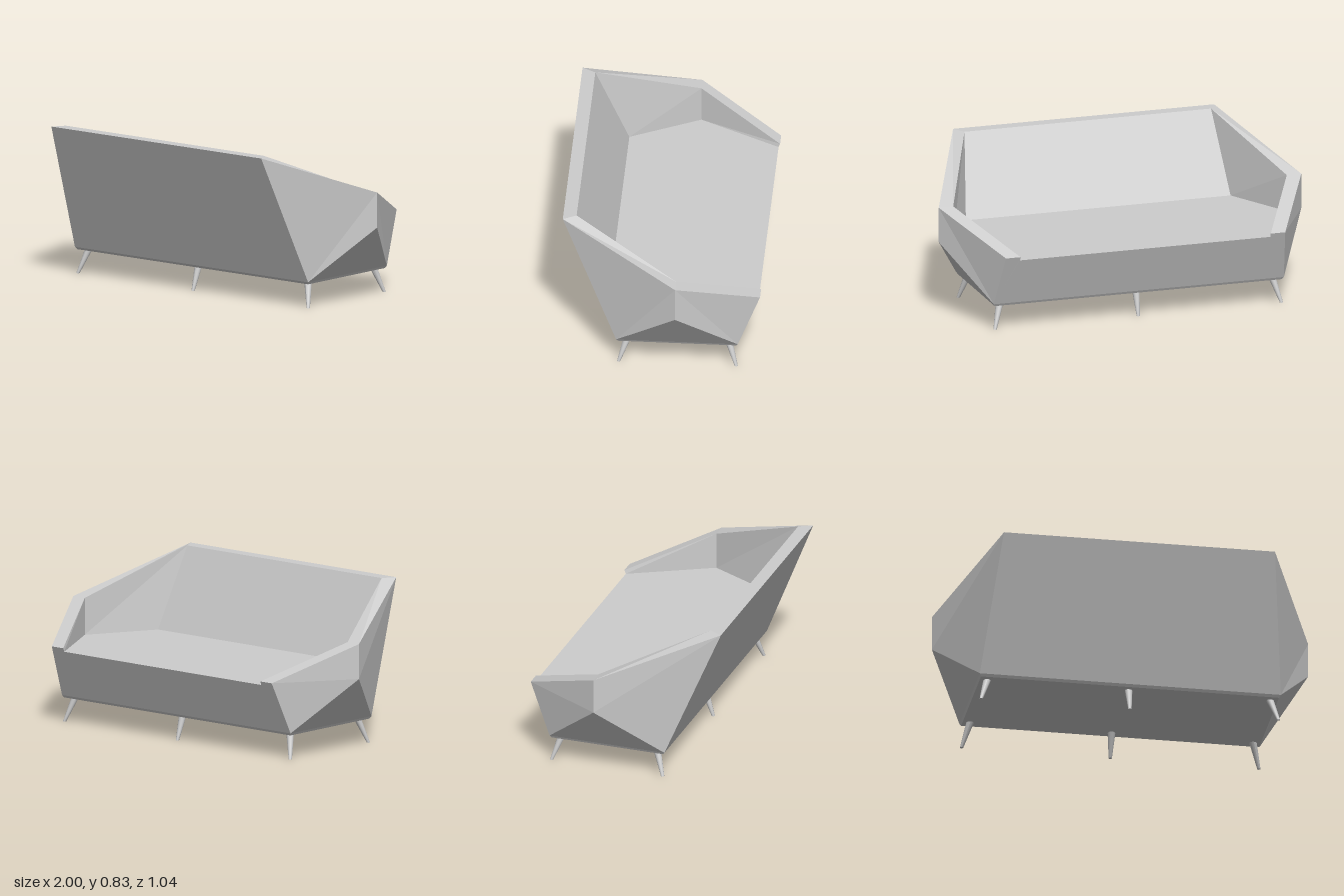
import * as THREE from 'three';

const fabric = new THREE.MeshStandardMaterial({ color: 0xcccccc });
fabric.name = 'paleGrey';

// mirror a point across x = 0
const m = ([x, y, z]) => [-x, y, z];
// mirror a face, keeping it facing outward
const flip = (face) => face.map(m).reverse();

// flat-faced mesh from convex polygons
function facetMesh(name, faces) {
  const pos = [];
  for (const f of faces) {
    for (let i = 1; i < f.length - 1; i++) pos.push(...f[0], ...f[i], ...f[i + 1]);
  }
  const geo = new THREE.BufferGeometry();
  geo.setAttribute('position', new THREE.Float32BufferAttribute(pos, 3));
  geo.computeVertexNormals();
  const mesh = new THREE.Mesh(geo, fabric);
  mesh.name = name;
  return mesh;
}
const bothSides = (faces) => [...faces, ...faces.map(flip)];

// splayed, tapered leg with level ends
function leg(name, top, bottom) {
  const h = 0.135;
  const geo = new THREE.CylinderGeometry(0.021, 0.009, h, 12);
  const p = geo.attributes.position;
  for (let i = 0; i < p.count; i++) {
    const t = p.getY(i) / h + 0.5;
    p.setXYZ(i,
      p.getX(i) + THREE.MathUtils.lerp(bottom[0], top[0], t),
      t * h,
      p.getZ(i) + THREE.MathUtils.lerp(bottom[1], top[1], t));
  }
  geo.computeVertexNormals();
  const mesh = new THREE.Mesh(geo, fabric);
  mesh.name = name;
  return mesh;
}

export function createModel() {
  const g = new THREE.Group();
  g.name = 'sofa';

  // corners of the +x half
  const B = [0.8, 0.14, 0.234], F = [0.8, 0.14, -0.405];          // base
  const Bi = [0.792, 0.127, 0.224], Fi = [0.792, 0.127, -0.397];  // underside
  const ML = [1, 0.41, -0.09], MU = [1, 0.597, -0.09];            // widest point
  const TB = [0.72, 0.83, 0.52], TF = [0.77, 0.42, -0.52];        // outer rim
  const iB = [0.68, 0.83, 0.45], iM = [0.92, 0.597, -0.09], iF = [0.69, 0.42, -0.52]; // inner rim
  const sB = [0.73, 0.4, 0.275], sM = [0.92, 0.4, -0.09], sF = [0.69, 0.4, -0.512];   // seat

  g.add(
    facetMesh('underside', [
      [Fi, Bi, m(Bi), m(Fi)],
      [m(Bi), Bi, B, m(B)],
      [Fi, m(Fi), m(F), F],
      ...bothSides([[Bi, Fi, F, B]]),
    ]),
    facetMesh('outerBack', [[m(B), B, TB, m(TB)]]),
    facetMesh('seatFront', [[F, m(F), m(sF), sF], ...bothSides([[F, sF, iF, TF]])]),
    facetMesh('outerSides', bothSides([
      [B, F, ML],
      [B, ML, MU, TB],
      [F, TF, MU, ML],
    ])),
    facetMesh('rim', [
      [m(TB), TB, iB, m(iB)],
      ...bothSides([[TB, MU, iM, iB], [MU, TF, iF, iM]]),
    ]),
    facetMesh('innerArms', bothSides([[iB, iM, sM, sB], [iM, iF, sF, sM]])),
    facetMesh('backrest', [[sB, m(sB), m(iB), iB]]),
    facetMesh('seat', [[sB, sM, sF, m(sF), m(sM), m(sB)]]),
  );

  // three legs along the back and three along the front
  for (const s of [-1, 0, 1]) {
    g.add(leg('backLeg', [s * 0.75, 0.175], [s * 0.79, 0.221]));
    g.add(leg('frontLeg', [s * 0.75, -0.352], [s * 0.79, -0.396]));
  }
  return g;
}
